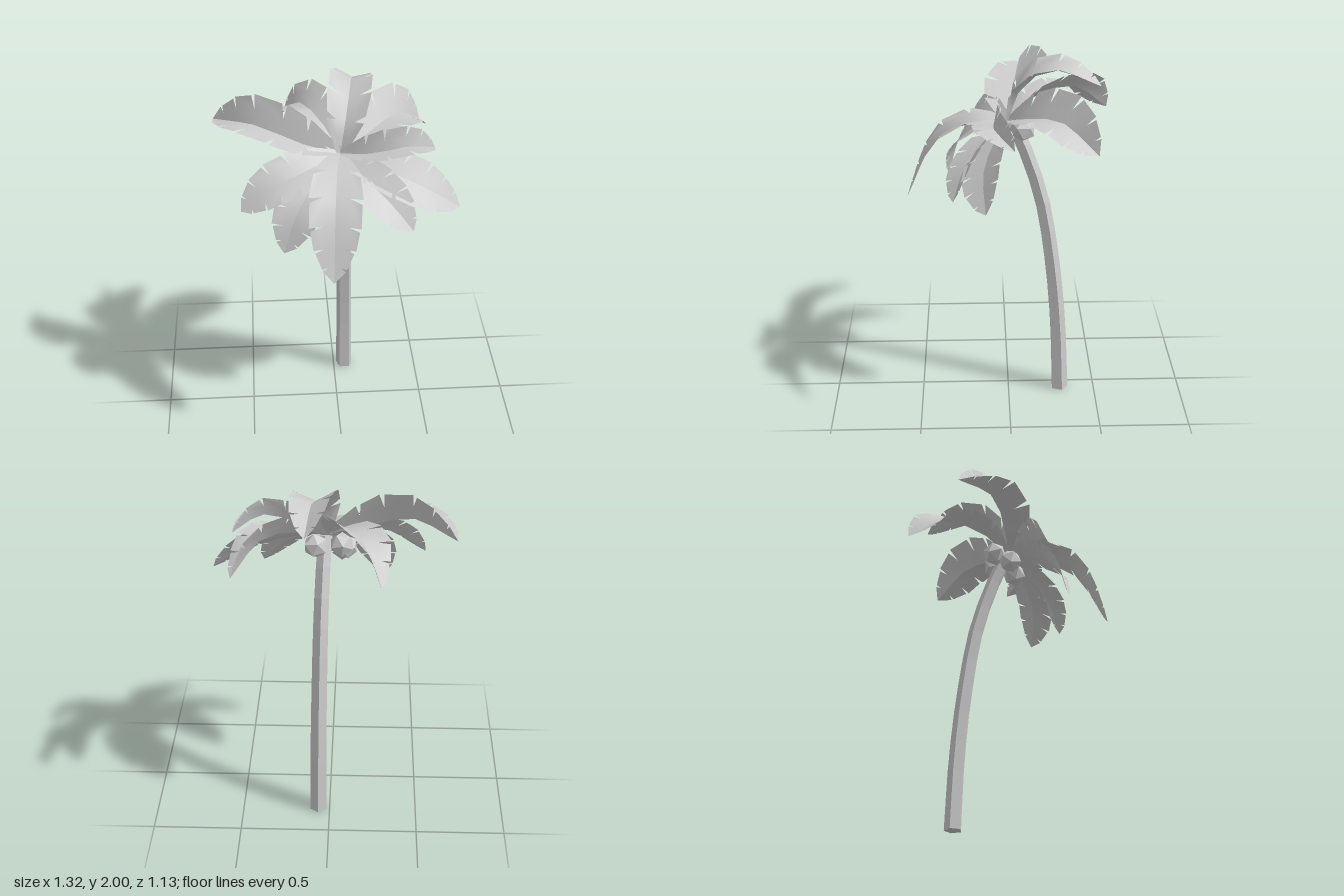
import * as THREE from 'three';
import { mergeVertices } from 'three/addons/utils/BufferGeometryUtils.js';

const V = (x, y, z) => new THREE.Vector3(x, y, z);
const grey = (opts) => new THREE.MeshStandardMaterial({ color: 0xcccccc, ...opts });
const CROWN = V(0.02, 1.64, 0);
const CROWN_UP = V(0, 0.8, 0.6); // the crown tips forward with the trunk

// Blade outline: half width along the midrib, and where the lobes split
const OUTLINE = [[0, 0.03], [0.26, 0.13], [0.46, 0.15], [0.64, 0.145], [0.78, 0.12], [0.9, 0.075], [1, 0]];
function halfWidth(t) {
  for (let i = 1; i < OUTLINE.length; i++) {
    const [t0, w0] = OUTLINE[i - 1], [t1, w1] = OUTLINE[i];
    if (t <= t1) return w0 + (w1 - w0) * (t - t0) / (t1 - t0);
  }
  return 0;
}

// One side of a frond, hinged on the midrib and folded upward
function bladeGeometry(curve, side, fold, scale) {
  const point = (t, frac) => {
    const u = Math.min(t, 1);
    const T = curve.getTangentAt(u);
    const S = T.clone().cross(CROWN_UP).normalize();
    const N = S.clone().cross(T);
    const reach = halfWidth(u) * frac * scale;
    return curve.getPointAt(u)
      .addScaledVector(S, side * reach * Math.cos(fold))
      .addScaledVector(N, reach * Math.sin(fold));
  };
  const pos = [];
  const tri = (a, b, c) => {
    for (const p of side > 0 ? [a, b, c] : [a, c, b]) pos.push(p.x, p.y, p.z);
  };
  const quad = (a, b, c, d) => { tri(a, b, c); tri(a, c, d); };
  const last = OUTLINE.length - 1;
  for (let i = 0; i < last; i++) {
    const t0 = OUTLINE[i][0], t1 = OUTLINE[i + 1][0], dt = t1 - t0;
    if (i === 0) {
      // plain widening base
      for (const [a, b] of [[0, 0.13], [0.13, t1]]) {
        quad(point(a, 0), point(a, 0.5), point(b, 0.5), point(b, 0));
        quad(point(a, 0.5), point(a, 1), point(b, 1), point(b, 0.5));
      }
      continue;
    }
    const b0 = point(t0, 0.5), b1 = point(t1, 0.5);
    if (i === last - 1) {
      // pointed tip
      tri(point(t0, 0), b0, b1);
      tri(b0, point(t0 + 0.25 * dt, 1.15), b1);
    } else {
      // lobe with a slanted notch before it
      quad(point(t0, 0), b0, b1, point(t1, 0));
      quad(b0, point(t0 + 0.22 * dt, 1), point(t1 + 0.01, 1.04), b1);
    }
  }
  const g = new THREE.BufferGeometry();
  g.setAttribute('position', new THREE.Float32BufferAttribute(pos, 3));
  const merged = mergeVertices(g, 1e-5);
  merged.computeVertexNormals();
  return merged;
}

// Midrib points after the crown, then fold angle and width scale
const FRONDS = [
  [[-0.07, 1.75, -0.15], [-0.18, 1.77, -0.37], [-0.27, 1.62, -0.56], 0.4, 1],
  [[-0.2, 1.7, -0.02], [-0.42, 1.78, -0.08], [-0.66, 1.74, -0.26], 0.72, 1.1],
  [[0.06, 1.85, -0.08], [0.09, 1.94, -0.24], [0.12, 1.86, -0.49], 0.42, 0.84],
  [[0.17, 1.7, -0.1], [0.35, 1.74, -0.27], [0.5, 1.61, -0.45], 0.52, 1.12],
  [[-0.01, 1.645, 0.2], [-0.03, 1.545, 0.38], [-0.05, 1.18, 0.56], 0.12, 0.92],
  [[0.22, 1.59, 0.08], [0.45, 1.5, 0.14], [0.66, 1.36, 0.13], 0.15, 0.95],
  [[-0.18, 1.61, 0.14], [-0.36, 1.55, 0.2], [-0.52, 1.43, 0.22], 0.3, 0.88],
  [[0.13, 1.57, 0.13], [0.27, 1.46, 0.24], [0.39, 1.32, 0.3], 0.25, 0.85],
  [[-0.1, 1.58, 0.15], [-0.22, 1.45, 0.27], [-0.3, 1.23, 0.33], 0.12, 0.9],
  [[0.18, 1.67, 0.07], [0.37, 1.71, 0.08], [0.53, 1.65, -0.02], 0.72, 0.76],
];

// Five-sided trunk: a cylinder bent along a curve
function trunkGeometry() {
  const path = new THREE.CatmullRomCurve3([
    V(0.065, 0, -0.298), V(0.063, 0.4, -0.282), V(0.058, 0.8, -0.245),
    V(0.05, 1.2, -0.18), V(0.04, 1.48, -0.09), V(0.03, 1.64, -0.02),
  ]);
  // theta offset puts a flat face to the front
  const g = new THREE.CylinderGeometry(0.04, 0.05, 1, 5, 10, false, Math.PI / 5);
  const p = g.attributes.position;
  for (let i = 0; i < p.count; i++) {
    const t = p.getY(i) + 0.5;
    const c = path.getPointAt(t), T = path.getTangentAt(t);
    const across = V(1, 0, 0);
    const forward = t < 0.001 ? V(0, 0, 1) : across.clone().cross(T).normalize();
    c.addScaledVector(across, p.getX(i)).addScaledVector(forward, p.getZ(i));
    p.setXYZ(i, c.x, c.y, c.z);
  }
  g.computeVertexNormals();
  return g;
}

export function createModel() {
  const group = new THREE.Group();
  const add = (name, geometry, material, parent = group) => {
    const mesh = new THREE.Mesh(geometry, material);
    mesh.name = name;
    parent.add(mesh);
    return mesh;
  };

  add('trunk', trunkGeometry(), grey({ flatShading: true }));

  // Fronds
  const leafMaterial = grey({ side: THREE.DoubleSide });
  for (const [a, b, tip, fold, scale] of FRONDS) {
    const curve = new THREE.CatmullRomCurve3([CROWN, V(...a), V(...b), V(...tip)]);
    const frond = new THREE.Group();
    frond.name = 'frond';
    for (const side of [1, -1]) {
      add(side > 0 ? 'bladeRight' : 'bladeLeft', bladeGeometry(curve, side, fold, scale), leafMaterial, frond);
    }
    group.add(frond);
  }

  // Coconuts under the crown
  const nutMaterial = grey({ flatShading: true });
  const nuts = [[0.08, 1.61, -0.08], [-0.06, 1.62, -0.08], [0.08, 1.56, 0.03], [-0.08, 1.56, 0.01]];
  nuts.forEach((p, i) => {
    const nut = add('coconut', new THREE.IcosahedronGeometry(0.068, 0), nutMaterial);
    nut.position.set(...p);
    nut.rotation.set(i * 0.9, i * 1.7, 0.4);
  });
  return group;
}
